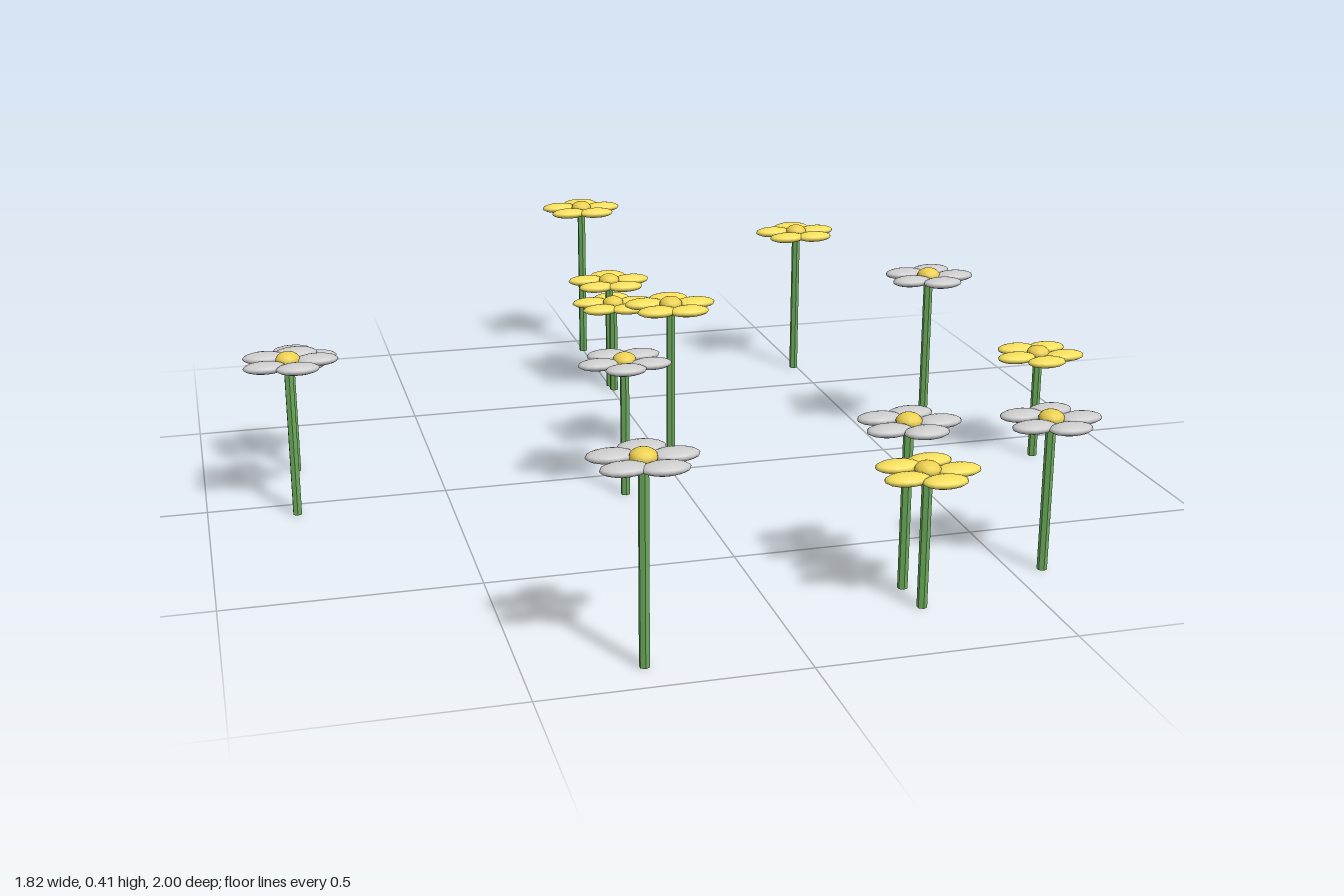
import * as THREE from 'three';

const grey = new THREE.MeshStandardMaterial({ color: 0xcccccc });
const yellow = new THREE.MeshStandardMaterial({ color: 0xf5de5c });
const gold = new THREE.MeshStandardMaterial({ color: 0xecd050 });
const green = new THREE.MeshStandardMaterial({ color: 0x6aa85a, flatShading: true });

// x, z, bloom height, petal phase in degrees
const yellowFlowers = [
  [0, -0.915, 0.382, 62], [0.003, -0.61, 0.268, 62], [0.005, -0.577, 0.22, 62],
  [0.492, -0.637, 0.355, 58], [0.007, -0.025, 0.37, 62],
  [0.813, 0.115, 0.238, 23], [0.272, 0.812, 0.27, 6],
];
const whiteFlowers = [
  [-0.8, -0.204, 0.258, 63], [-0.818, 0.055, 0.334, 2], [-0.13, 0.116, 0.297, 28],
  [0.612, -0.049, 0.387, 7], [0.268, 0.722, 0.333, 5],
  [0.563, 0.707, 0.308, 4], [-0.287, 0.921, 0.387, 64],
];

const PETALS = 5;
const RING = 0.058;
const petalGeometry = new THREE.SphereGeometry(1, 14, 10).scale(0.044, 0.012, 0.026);
const centreGeometry = new THREE.SphereGeometry(0.025, 14, 10).scale(1, 0.65, 1);

function part(name, geometry, material, x, y, z) {
  const mesh = new THREE.Mesh(geometry, material);
  mesh.name = name;
  mesh.position.set(x, y, z);
  return mesh;
}

function makeFlower([x, z, height, phase], petalMaterial) {
  const flower = new THREE.Group();
  flower.name = 'flower';
  flower.position.set(x, 0, z);

  const stem = new THREE.CylinderGeometry(0.01, 0.01, height, 6);
  flower.add(part('stem', stem, green, 0, height / 2, 0));

  // Petals sit on a ring but all keep their long axis along x
  for (let i = 0; i < PETALS; i++) {
    const a = THREE.MathUtils.degToRad(phase) + (i / PETALS) * Math.PI * 2;
    flower.add(part('petal', petalGeometry, petalMaterial, Math.cos(a) * RING, height, Math.sin(a) * RING));
  }

  flower.add(part('flowerCentre', centreGeometry, gold, 0, height + 0.004, 0));
  return flower;
}

export function createModel() {
  const model = new THREE.Group();
  model.name = 'flowerPatch';
  for (const f of yellowFlowers) model.add(makeFlower(f, yellow));
  for (const f of whiteFlowers) model.add(makeFlower(f, grey));
  return model;
}
